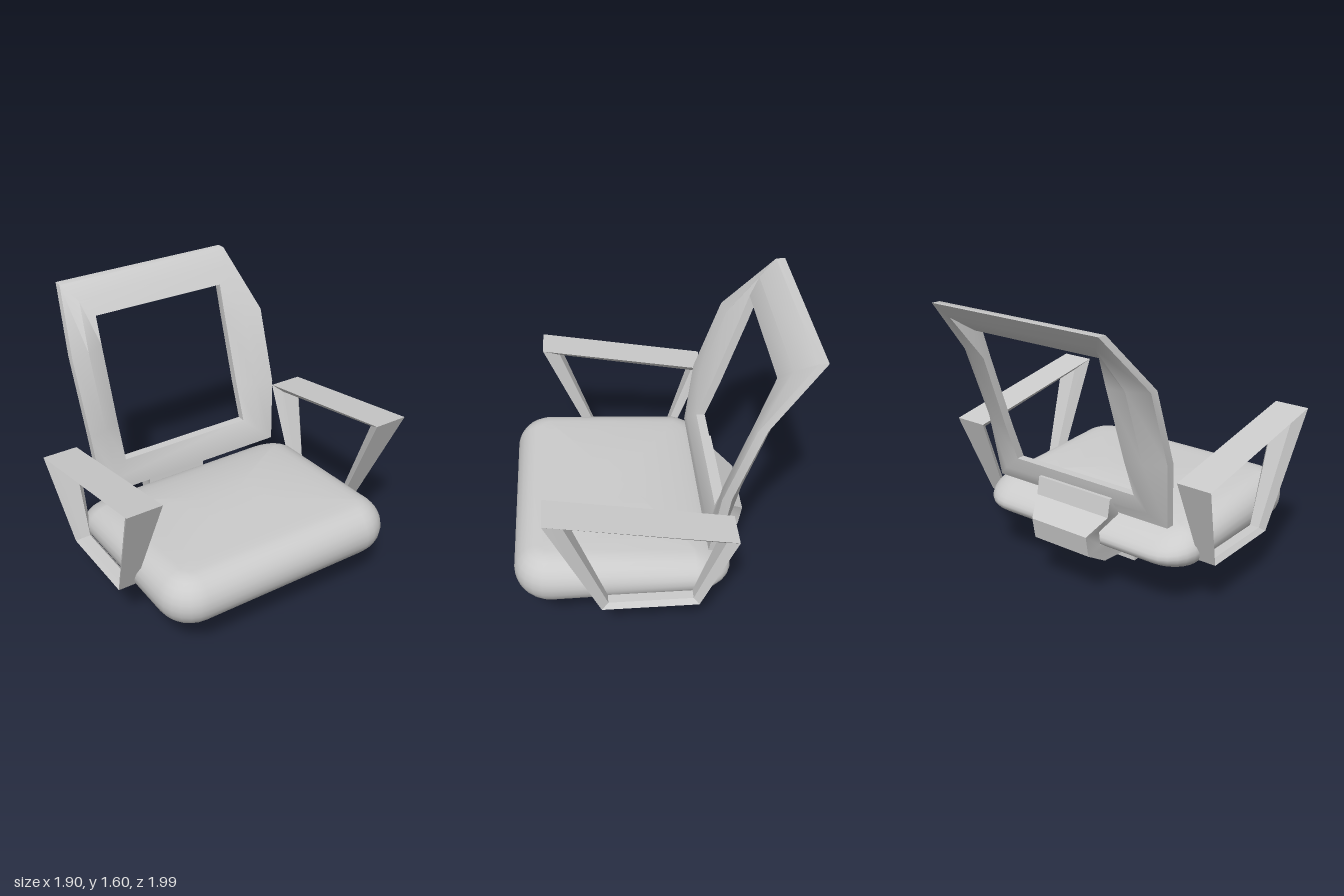
import * as THREE from 'three';
import { toCreasedNormals } from 'three/addons/utils/BufferGeometryUtils.js';

const material = new THREE.MeshStandardMaterial({ color: 0xcccccc, side: THREE.DoubleSide });

function addMesh(parent, name, geometry) {
  const mesh = new THREE.Mesh(geometry, material);
  mesh.name = name;
  parent.add(mesh);
  return mesh;
}

// Skins a list of equal-length cross-sections; closed = the sections form a loop.
function loft(sections, closed, crease) {
  const n = sections[0].length, m = sections.length;
  const pts = sections.flat();
  const index = [];
  for (let i = 0; i < (closed ? m : m - 1); i++) {
    for (let j = 0; j < n; j++) {
      const a = i * n + j, b = i * n + (j + 1) % n;
      const c = ((i + 1) % m) * n + j, d = ((i + 1) % m) * n + (j + 1) % n;
      index.push(a, b, c, b, d, c);
    }
  }
  if (!closed) {
    for (const i of [0, m - 1]) {
      const centre = new THREE.Vector3();
      sections[i].forEach((p) => centre.addScaledVector(p, 1 / n));
      const k = pts.push(centre) - 1;
      for (let j = 0; j < n; j++) {
        const a = i * n + j, b = i * n + (j + 1) % n;
        if (i === 0) index.push(a, k, b); else index.push(a, b, k);
      }
    }
  }
  // Turn the faces outward if the enclosed volume is negative
  let volume = 0;
  const cross = new THREE.Vector3();
  for (let t = 0; t < index.length; t += 3) {
    volume += pts[index[t]].dot(cross.crossVectors(pts[index[t + 1]], pts[index[t + 2]]));
  }
  if (volume < 0) index.reverse();
  const geometry = new THREE.BufferGeometry().setFromPoints(pts);
  geometry.setIndex(index);
  return toCreasedNormals(geometry, crease);
}

const V = (x, y, z) => new THREE.Vector3(x, y, z);

// Cushion: stacked rounded rectangles, thinner toward the back
function seatGeometry() {
  const halfW = 0.72, halfD = 0.58, zMid = 0.16, corner = 0.2, edge = 0.15;
  const ring = (inset, y, scale) => {
    const r = corner - inset, w = halfW - inset - r, d = halfD - inset - r;
    const out = [];
    for (let q = 0; q < 4; q++) {
      const sx = q === 0 || q === 3 ? 1 : -1, sz = q < 2 ? 1 : -1;
      for (let s = 0; s <= 6; s++) {
        const a = (q + s / 6) * Math.PI / 2;
        const x = (sx * w + r * Math.cos(a)) * scale;
        const z = (sz * d + r * Math.sin(a)) * scale + zMid;
        const k = THREE.MathUtils.clamp((0.15 - z) / 0.57, 0, 1);
        out.push(V(x, 0.32 + (y - 0.32) * (1 - 0.55 * k * k), z));
      }
    }
    return out;
  };
  const rings = [];
  for (const s of [0.3, 0.6, 0.85]) rings.push(ring(edge, 0.23, s));
  for (let i = 0; i <= 12; i++) {
    const a = (i / 12 - 0.5) * Math.PI;
    rings.push(ring(edge * (1 - Math.cos(a)), 0.38 + 0.15 * Math.sin(a), 1));
  }
  for (const s of [0.85, 0.6, 0.3]) rings.push(ring(edge, 0.53, s));
  return loft(rings, false, 1.2);
}

// Open back frame: each row is outer x, y, z then inner x, y, z
function backGeometry() {
  const half = [
    [0.54, 1.605, -0.77, 0.41, 1.45, -0.61],
    [0.625, 1.29, -0.49, 0.41, 1.29, -0.56],
    [0.62, 0.87, -0.34, 0.41, 0.87, -0.42],
    [0.59, 0.5, -0.29, 0.41, 0.655, -0.34],
  ];
  const section = (side) => ([ox, oy, oz, ix, iy, iz]) => {
    const mx = (ox + ix) / 2, my = (oy + iy) / 2, mz = (oz + iz) / 2;
    return [
      V(side * ox, oy, oz), V(side * mx, my, mz + 0.02), V(side * ix, iy, iz),
      V(side * ix, iy, iz - 0.05), V(side * mx, my, mz - 0.075), V(side * ox, oy, oz - 0.05),
    ];
  };
  return loft([...half.map(section(1)), ...half.map(section(-1)).reverse()], true, 0.75);
}

// Arm loop: wide pad on top, narrowing to a thin bar at the seat side
function armGeometry() {
  // outer z, outer y, inner z, inner y, centre x, half width
  const corners = [
    [-0.4, 0.8, -0.34, 0.765, 0.775, 0.1],
    [0.557, 0.97, 0.46, 0.915, 0.775, 0.1],
    [0.285, 0.31, 0.25, 0.337, 0.753, 0.05],
    [-0.224, 0.31, -0.195, 0.337, 0.753, 0.05],
  ];
  return loft(corners.map(([oz, oy, iz, iy, x, w]) => [
    V(x - w, oy, oz), V(x + w, oy, oz), V(x + w * 0.55, iy, iz), V(x - w * 0.55, iy, iz),
  ]), true, 0.6);
}

// Bent bracket joining the underside to the back frame
function bracketGeometry() {
  // half width, outer y, outer z, inner y, inner z
  const rows = [
    [0.25, 0.6, -0.41, 0.6, -0.35],
    [0.25, 0.5, -0.43, 0.49, -0.34],
    [0.19, 0.41, -0.54, 0.4, -0.43],
    [0.19, 0.29, -0.52, 0.32, -0.42],
    [0.18, 0.2, -0.37, 0.27, -0.32],
    [0.17, 0.18, -0.15, 0.25, -0.15],
  ];
  return loft(rows.map(([w, oy, oz, iy, iz]) => [
    V(-w, oy, oz), V(w, oy, oz), V(w, iy, iz), V(-w, iy, iz),
  ]), false, 0.6);
}

export function createModel() {
  const model = new THREE.Group();
  model.name = 'chairTop';

  // The whole chair is turned sixty degrees about the vertical
  const chair = new THREE.Group();
  chair.name = 'chair';
  chair.rotation.y = Math.PI / 3;
  chair.position.set(0.027, 0, -0.045);
  model.add(chair);

  addMesh(chair, 'seat', seatGeometry());
  addMesh(chair, 'backrestFrame', backGeometry()).position.x = 0.01;
  addMesh(chair, 'backBracket', bracketGeometry()).position.x = -0.01;

  // Armrests, mirrored by turning the vertices over
  for (const side of [1, -1]) {
    const arm = armGeometry();
    if (side < 0) {
      const p = arm.attributes.position, nor = arm.attributes.normal;
      for (let i = 0; i < p.count; i++) {
        p.setX(i, -p.getX(i));
        nor.setX(i, -nor.getX(i));
      }
      arm.setIndex([...Array(p.count).keys()].reverse());
    }
    addMesh(chair, side > 0 ? 'leftArmrest' : 'rightArmrest', arm);
  }

  // Mounting plate under the seat
  addMesh(chair, 'basePlate', new THREE.BoxGeometry(0.55, 0.065, 0.55)).position.set(0, 0.198, 0.057);

  // Control lever: shaft and knob along one tilted axis
  const lever = new THREE.Group();
  lever.name = 'lever';
  lever.position.set(0, 0.2, 0.136);
  lever.rotation.x = -Math.atan2(0.105, 0.175);
  chair.add(lever);
  addMesh(lever, 'leverShaft', new THREE.CylinderGeometry(0.028, 0.028, 0.14, 20)).position.y = -0.06;
  addMesh(lever, 'leverKnob', new THREE.CylinderGeometry(0.054, 0.054, 0.09, 24)).position.y = -0.155;
  return model;
}
